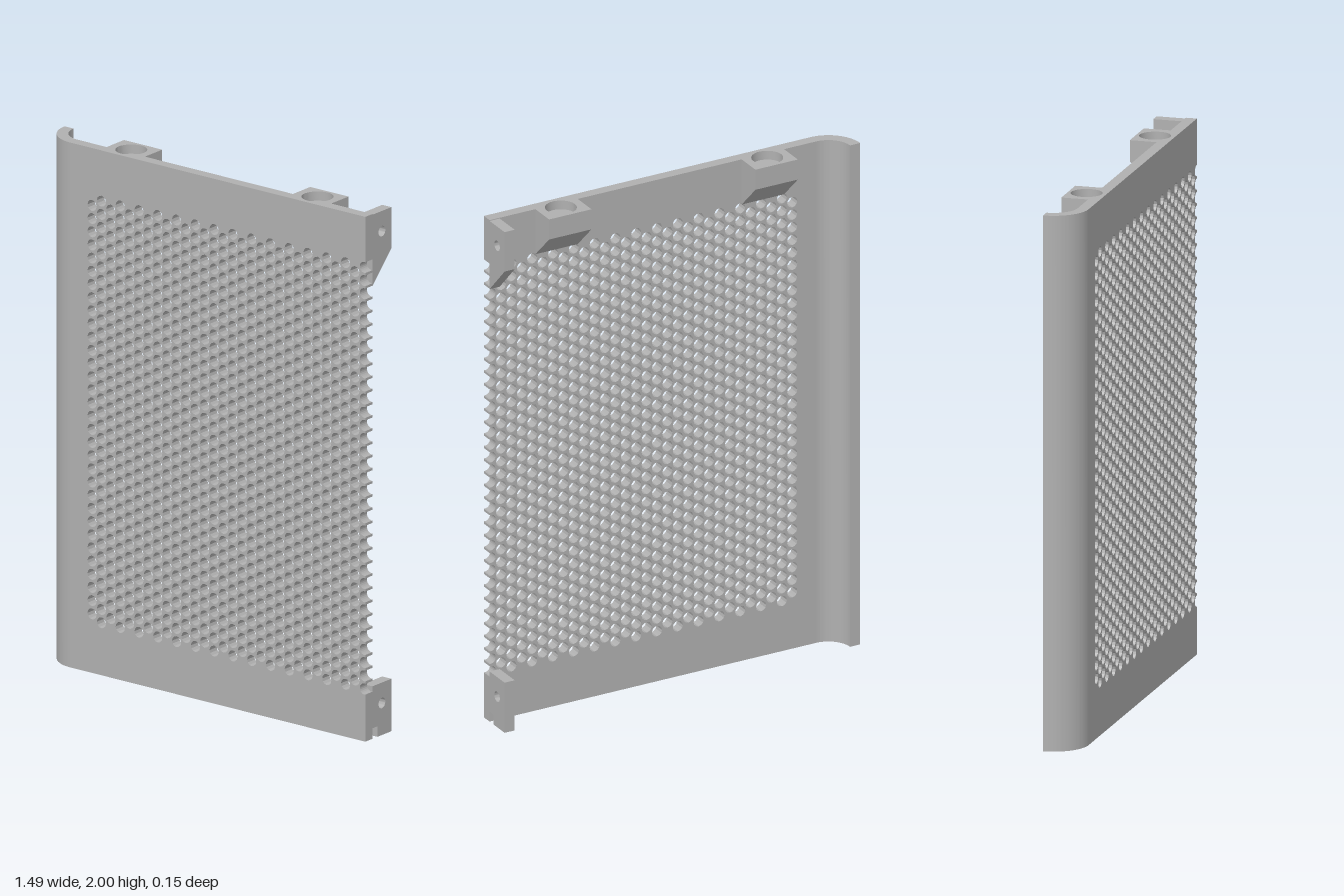
import * as THREE from 'three';
import { toCreasedNormals } from 'three/addons/utils/BufferGeometryUtils.js';

const RIGHT = 0.743, FRONT = 0.077, BACK = 0.035; // panel edge and its two faces in z
const FLAT = -0.613;                              // x where the flat sheet meets the rolled edge
const RIM = 1.965;                                // floor height of the boss sockets
const BOSSES = [-0.392, 0.465], BOSS_HALF = 0.088, BOSS_BACK = -0.066;

export function createModel() {
  const group = new THREE.Group();
  const grey = new THREE.MeshStandardMaterial({ color: 0xb0b0b0 });
  grey.name = 'grey plastic';

  const add = (name, geometry) => {
    const mesh = new THREE.Mesh(geometry, grey);
    mesh.name = name;
    group.add(mesh);
  };
  const extrude = (shape, depth, curveSegments = 12) =>
    new THREE.ExtrudeGeometry(shape, { depth, curveSegments, bevelEnabled: false });
  // plan outline (x, -z) raised along y
  const raise = (shape, y, height) =>
    toCreasedNormals(extrude(shape, height, 16).rotateX(-Math.PI / 2).translate(0, y, 0), 0.6);
  // side outline (-z, y) extended along x
  const extendX = (shape, x, width) =>
    toCreasedNormals(extrude(shape, width).rotateY(Math.PI / 2).translate(x, 0, 0), 0.6);
  const outline = (points) => new THREE.Shape(points.map(([a, b]) => new THREE.Vector2(a, b)));
  const circle = (x, y, r) => new THREE.Path().absarc(x, y, r, 0, Math.PI * 2, true);

  // Perforated sheet: staggered holes, the last column cut open by the edge
  const r = 0.021, pitch = 0.0502, stepX = 0.0432, firstX = -0.514;
  const columnYs = (n) => n % 2
    ? Array.from({ length: 33 }, (_, i) => 0.2 + i * pitch)
    : Array.from({ length: 32 }, (_, i) => 0.225 + i * pitch);
  const sheet = new THREE.Shape();
  sheet.moveTo(FLAT, 0);
  sheet.lineTo(RIGHT, 0);
  const lastX = firstX + 29 * stepX;
  const a = Math.acos((RIGHT - lastX) / r);
  for (const y of columnYs(29)) sheet.absarc(lastX, y, r, -a, a, true);
  sheet.lineTo(RIGHT, RIM);
  sheet.lineTo(FLAT, RIM);
  sheet.closePath();
  for (let n = 0; n < 29; n++) {
    for (const y of columnYs(n)) sheet.holes.push(circle(firstX + n * stepX, y, r));
  }
  add('perforatedPanel', extrude(sheet, FRONT - BACK, 6).translate(0, 0, BACK));

  // Rolled edge curling backwards
  const roll = new THREE.Shape();
  roll.absarc(FLAT, 0.055, 0.132, Math.PI, Math.PI * 1.5, false);
  roll.absarc(FLAT, 0.055, 0.09, Math.PI * 1.5, Math.PI, true);
  roll.closePath();
  add('rolledEdge', raise(roll, 0, 2));

  // Top rim, including the upper part of the bosses with their round sockets
  const rimPoints = [[FLAT, -FRONT], [RIGHT, -FRONT], [RIGHT, -BACK]];
  for (const x of [...BOSSES].reverse()) {
    rimPoints.push([x + BOSS_HALF, -BACK], [x + BOSS_HALF, -BOSS_BACK],
      [x - BOSS_HALF, -BOSS_BACK], [x - BOSS_HALF, -BACK]);
  }
  rimPoints.push([FLAT, -BACK]);
  const rim = outline(rimPoints);
  for (const x of BOSSES) rim.holes.push(circle(x, -0.003, 0.058));
  add('topRim', raise(rim, RIM, 2 - RIM));

  // Boss bodies with sloped undersides
  for (const x of BOSSES) {
    const body = outline([[-BACK, RIM], [-BACK, 1.82], [-BOSS_BACK, 1.92], [-BOSS_BACK, RIM]]);
    add('socketBoss', extendX(body, x - BOSS_HALF, BOSS_HALF * 2));
  }

  // Hinge brackets with screw holes
  const upper = outline([[-BACK, 1.725], [0.075, 1.84], [0.075, 1.997], [-BACK, 1.997]]);
  upper.holes.push(circle(0.02, 1.92, 0.02));
  add('upperBracket', extendX(upper, 0.701, RIGHT - 0.701));

  const lower = outline([[-0.006, 0], [0.075, 0], [0.075, 0.2], [-BACK, 0.2], [-BACK, 0.04], [-0.006, 0.04]]);
  lower.holes.push(circle(0.02, 0.122, 0.02));
  add('lowerBracket', extendX(lower, 0.701, RIGHT - 0.701));

  return group;
}
